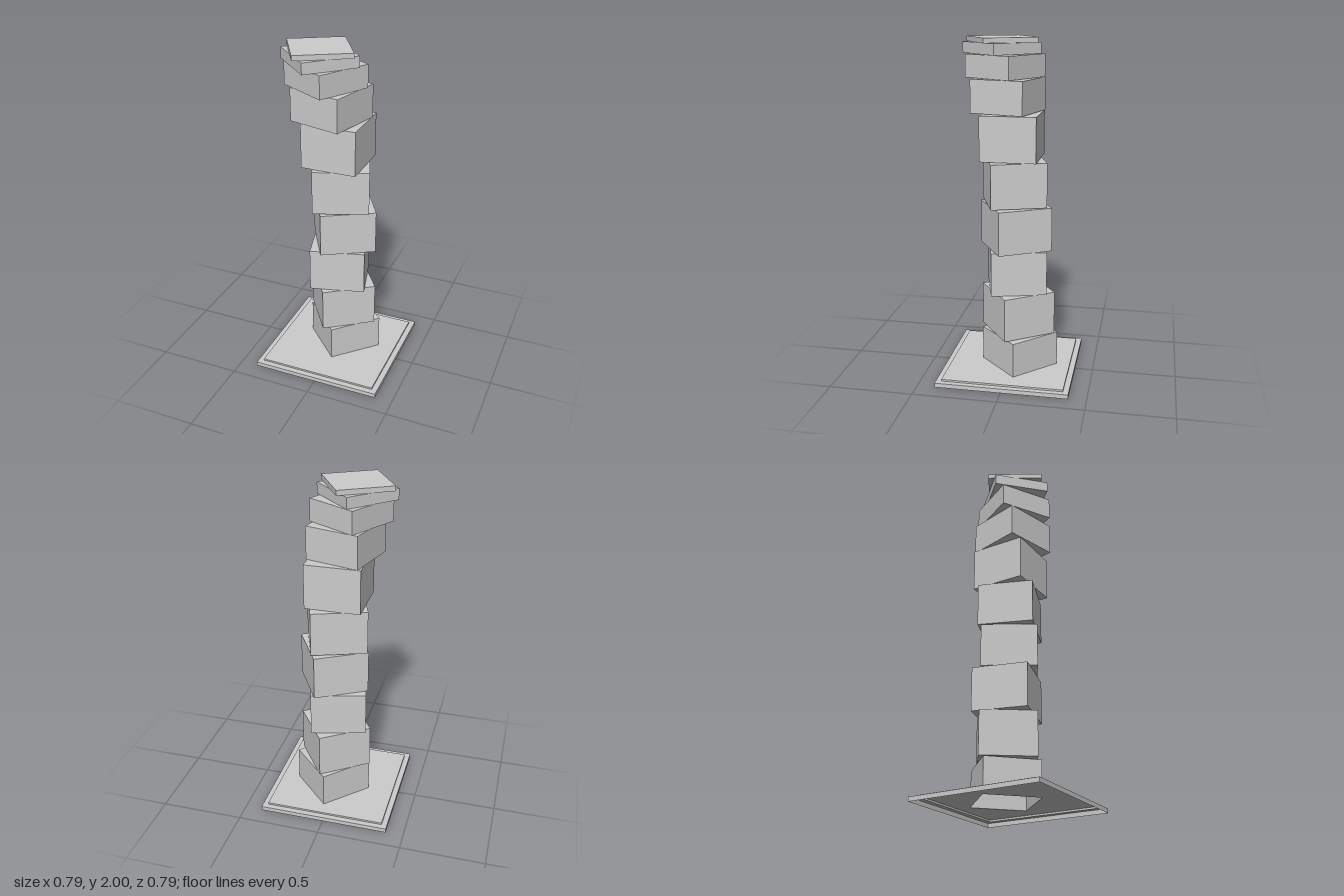
import * as THREE from 'three';

const SIDE = 0.327; // footprint of every block
const material = new THREE.MeshStandardMaterial({ color: 0xcccccc, flatShading: true, side: THREE.DoubleSide });

// Bottom to top: [x, z, turn in degrees, base height, top height]
const BLOCKS = [
  [0.025, -0.05, 45, 0.037, 0.246],
  [0.0125, -0.0375, 35, 0.251, 0.513],
  [0, -0.025, 15, 0.516, 0.778],
  [0.025, -0.025, 30, 0.781, 1.04],
  [0.0125, -0.0125, 20, 1.046, 1.308],
  [0, 0, 0, 1.311, 1.574],
  [-0.03, 0.03, -15, 1.577, 1.77],
  [-0.055, 0.0525, -30, 1.772, 1.904],
  [-0.08, 0.078, -45, 1.906, 1.97],
  [-0.08, 0.078, -60, 1.971, 2.0],
];

// Box without some faces (2 = top, 3 = bottom), standing between two heights
function openBox(width, y0, y1, missing = []) {
  const g = new THREE.BoxGeometry(width, y1 - y0, width);
  const index = Array.from(g.index.array).filter((_, i) => !missing.includes(Math.floor(i / 6)));
  g.setIndex(index);
  g.clearGroups();
  return g.translate(0, (y0 + y1) / 2, 0);
}

// Corners of a square in plan, in x and z
function square(half, x = 0, z = 0, degrees = 0) {
  const a = THREE.MathUtils.degToRad(degrees), c = Math.cos(a), s = Math.sin(a);
  return [[1, 1], [-1, 1], [-1, -1], [1, -1]].map(([u, v]) =>
    new THREE.Vector2(x + half * (u * c + v * s), z + half * (v * c - u * s)));
}

// Flat horizontal sheet with a square opening
function ledge(outer, opening, y) {
  const flip = (p) => new THREE.Vector2(p.x, -p.y);
  const shape = new THREE.Shape(outer.map(flip));
  shape.holes.push(new THREE.Path(opening.map(flip)));
  return new THREE.ShapeGeometry(shape).rotateX(-Math.PI / 2).translate(0, y, 0);
}

export function createModel() {
  const group = new THREE.Group();
  const add = (name, geometry, parent = group) => {
    const mesh = new THREE.Mesh(geometry, material);
    mesh.name = name;
    parent.add(mesh);
    return mesh;
  };

  // Hollow stepped base, open underneath and into the first block
  const base = new THREE.Group();
  base.name = 'base';
  group.add(base);
  const [x, z, turn] = BLOCKS[0];
  add('baseRim', openBox(0.788, 0, 0.026, [2, 3]), base);
  add('baseStep', ledge(square(0.394), square(0.361), 0.026), base);
  add('plinthRim', openBox(0.722, 0.026, 0.037, [2, 3]), base);
  add('plinthTop', ledge(square(0.361), square(SIDE / 2, x, z, turn), 0.037), base);

  // Twisting stack of blocks
  BLOCKS.forEach(([bx, bz, degrees, y0, y1], i) => {
    const block = add(`block${i + 1}`, openBox(SIDE, y0, y1, i === 0 ? [3] : []));
    block.position.set(bx, 0, bz);
    block.rotation.y = THREE.MathUtils.degToRad(degrees);
  });
  return group;
}
